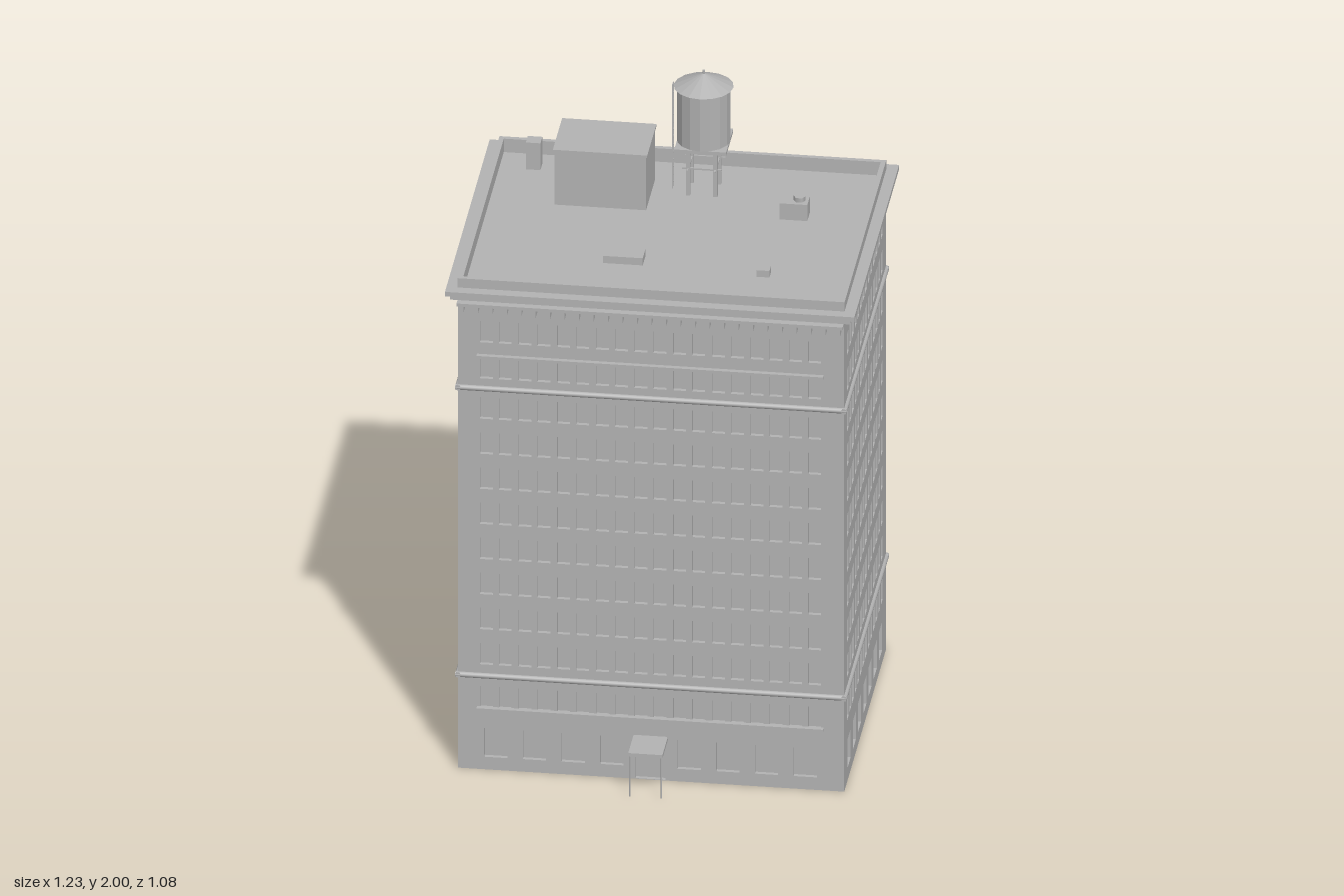
import * as THREE from 'three';
import { mergeGeometries } from 'three/addons/utils/BufferGeometryUtils.js';

const HX = 0.581, HZ = 0.463, ZC = -0.0425; // footprint half sizes and centre
const TOP = 1.645, ROOF = 1.6, STEP = 0.1164;

export function createModel() {
  const model = new THREE.Group();
  const stone = new THREE.MeshStandardMaterial({ color: 0xb2b2b2, side: THREE.DoubleSide });
  stone.name = 'grey stone';

  function add(name, geometry, parent = model) {
    const mesh = new THREE.Mesh(geometry, stone);
    mesh.name = name;
    parent.add(mesh);
    return mesh;
  }
  function boxGeo(x0, x1, y0, y1, z0, z1) {
    return new THREE.BoxGeometry(x1 - x0, y1 - y0, z1 - z0)
      .translate((x0 + x1) / 2, (y0 + y1) / 2, (z0 + z1) / 2);
  }
  const box = (name, ...b) => add(name, boxGeo(...b));

  function rect(target, x0, x1, y0, y1) {
    target.moveTo(x0, y0);
    target.lineTo(x1, y0);
    target.lineTo(x1, y1);
    target.lineTo(x0, y1);
    target.closePath();
    return target;
  }

  // Rectangular frame running round the building
  function ring(name, out, inset, y0, y1) {
    const a = HX + out, b = HZ + out, c = HX - inset, d = HZ - inset;
    const s = rect(new THREE.Shape(), -a, a, -b, b);
    s.holes.push(rect(new THREE.Path(), -c, c, -d, d));
    const g = new THREE.ExtrudeGeometry(s, { depth: y1 - y0, bevelEnabled: false });
    g.rotateX(-Math.PI / 2).translate(0, y0, ZC);
    return add(name, g);
  }

  // Open-fronted recess behind an opening
  function recess(x0, x1, y0, y1) {
    const depth = 0.013;
    const g = boxGeo(x0, x1, y0, y1, -depth, 0);
    const index = Array.from(g.index.array);
    g.setIndex([...index.slice(0, 24), ...index.slice(30)]);
    g.clearGroups();
    return g;
  }

  // Window rows by sill height
  const sills = [0.207, 1.313, 1.434];
  for (let i = 0; i < 8; i++) sills.push(0.352 + i * 0.1179);

  // Wall with paired windows above and wide windows at street level
  function wall(name, half, bays, shift, hasDoor) {
    const openings = [];
    for (let i = 0; i < bays; i++) {
      const c = (i - (bays - 1) / 2) * STEP + shift;
      if (hasDoor && i === (bays - 1) / 2) openings.push([c - 0.045, c + 0.045, 0.002, 0.134]);
      else openings.push([c - 0.035, c + 0.035, 0.042, 0.138]);
      for (const y of sills) {
        for (const s of [-1, 1]) {
          const w = c + s * 0.0285;
          openings.push([w - 0.0195, w + 0.0195, y, y + 0.072]);
        }
      }
    }
    const shape = rect(new THREE.Shape(), -half, half, 0, TOP);
    for (const o of openings) shape.holes.push(rect(new THREE.Path(), ...o));
    const group = new THREE.Group();
    group.name = name;
    add(name + 'Face', new THREE.ShapeGeometry(shape), group);
    add(name + 'Recesses', mergeGeometries(openings.map((o) => recess(...o))), group);
    model.add(group);
    return group;
  }

  // Walls
  wall('frontWall', HX, 9, -0.002, true).position.z = ZC + HZ;
  for (const s of [-1, 1]) {
    const side = wall(s > 0 ? 'leftWall' : 'rightWall', HZ, 7, -s * 0.005, false);
    side.rotation.y = s * Math.PI / 2;
    side.position.set(s * HX, 0, ZC);
  }
  const back = add('backWall', new THREE.PlaneGeometry(HX * 2, TOP));
  back.rotation.y = Math.PI;
  back.position.set(0, TOP / 2, ZC - HZ);

  // Roof deck, parapet and cornice
  const deck = add('roofDeck', new THREE.PlaneGeometry(HX * 2, HZ * 2));
  deck.rotation.x = -Math.PI / 2;
  deck.position.set(0, ROOF, ZC);
  ring('parapet', 0.001, 0.014, ROOF, TOP);
  ring('upperCornice', 0.035, 0, 1.599, 1.614);
  ring('lowerCornice', 0.021, 0, 1.582, 1.599);

  // Bracket row under the front cornice
  const front = ZC + HZ;
  box('bracketStrip', -HX, HX, 1.568, 1.578, front, front + 0.036);
  const brackets = [];
  for (let i = 0; i < 27; i++) {
    const x = (i - 13) * 0.0436;
    brackets.push(boxGeo(x - 0.006, x + 0.006, 1.545, 1.568, front, front + 0.034));
  }
  add('brackets', mergeGeometries(brackets));

  // Rounded belt courses and front ledges
  for (const y of [0.315, 1.28]) {
    for (const s of [-1, 1]) {
      const along = new THREE.CylinderGeometry(0.009, 0.009, HX * 2 + 0.016, 10);
      add('beltCourse', along.rotateZ(Math.PI / 2).translate(0, y, ZC + s * HZ));
      const across = new THREE.CylinderGeometry(0.009, 0.009, HZ * 2 + 0.016, 10);
      add('beltCourse', across.rotateX(Math.PI / 2).translate(s * HX, y, ZC));
    }
  }
  for (const y of [0.202, 1.386]) box('frontLedge', -0.524, 0.519, y, y + 0.009, front, front + 0.015);

  // Entrance canopy on slim posts
  box('canopy', -0.053, 0.05, 0.135, 0.147, front, 0.54);
  for (const x of [-0.049, 0.046]) {
    add('canopyPost', new THREE.CylinderGeometry(0.002, 0.002, 0.135, 6).translate(x, 0.0675, 0.536));
  }

  // Rooftop boxes
  box('bulkhead', -0.372, -0.096, ROOF, 1.78, -0.374, -0.175);
  box('bulkheadCap', -0.376, -0.092, 1.778, 1.786, -0.378, -0.171);
  box('chimney', -0.487, -0.443, ROOF, 1.69, -0.433, -0.39);
  box('ventBox', 0.307, 0.39, ROOF, 1.654, -0.23, -0.17);
  add('ventCap', new THREE.CylinderGeometry(0.018, 0.018, 0.02, 6).rotateY(Math.PI / 6).translate(0.363, 1.658, -0.199));
  box('skylight', -0.177, -0.058, ROOF, 1.624, 0.12, 0.18);
  box('roofHatch', 0.288, 0.327, ROOF, 1.622, 0.17, 0.207);

  // Water tank on a braced stand
  const tank = new THREE.Group();
  tank.name = 'waterTank';
  tank.position.set(0.056, 0, -0.334);
  model.add(tank);
  const faceted = (g) => {
    const flat = g.toNonIndexed();
    flat.computeVertexNormals();
    return flat;
  };
  add('tankBody', faceted(new THREE.CylinderGeometry(0.081, 0.081, 0.182, 16)).translate(0, 1.858, 0), tank);
  add('tankRoof', faceted(new THREE.ConeGeometry(0.09, 0.043, 16)).translate(0, 1.969, 0), tank);
  add('tankFinial', new THREE.CylinderGeometry(0.004, 0.004, 0.018, 6).translate(0, 1.991, 0), tank);
  add('tankPlatform', boxGeo(-0.078, 0.078, 1.757, 1.768, -0.078, 0.078), tank);
  for (const s of [-1, 1]) {
    for (const t of [-1, 1]) {
      add('tankLeg', boxGeo(s * 0.041 - 0.006, s * 0.041 + 0.006, ROOF, 1.758, t * 0.041 - 0.006, t * 0.041 + 0.006), tank);
    }
    add('legBrace', boxGeo(-0.06, 0.06, 1.686, 1.691, s * 0.041 - 0.003, s * 0.041 + 0.003), tank);
    add('legBrace', boxGeo(s * 0.041 - 0.003, s * 0.041 + 0.003, 1.686, 1.691, -0.06, 0.06), tank);
  }

  // Ladder up the tank side
  for (const z of [-0.008, 0.008]) {
    add('ladderRail', boxGeo(-0.094, -0.091, ROOF, 1.95, z - 0.0015, z + 0.0015), tank);
  }
  for (let y = 1.62; y < 1.95; y += 0.025) {
    add('ladderRung', boxGeo(-0.094, -0.091, y, y + 0.003, -0.008, 0.008), tank);
  }
  return model;
}
